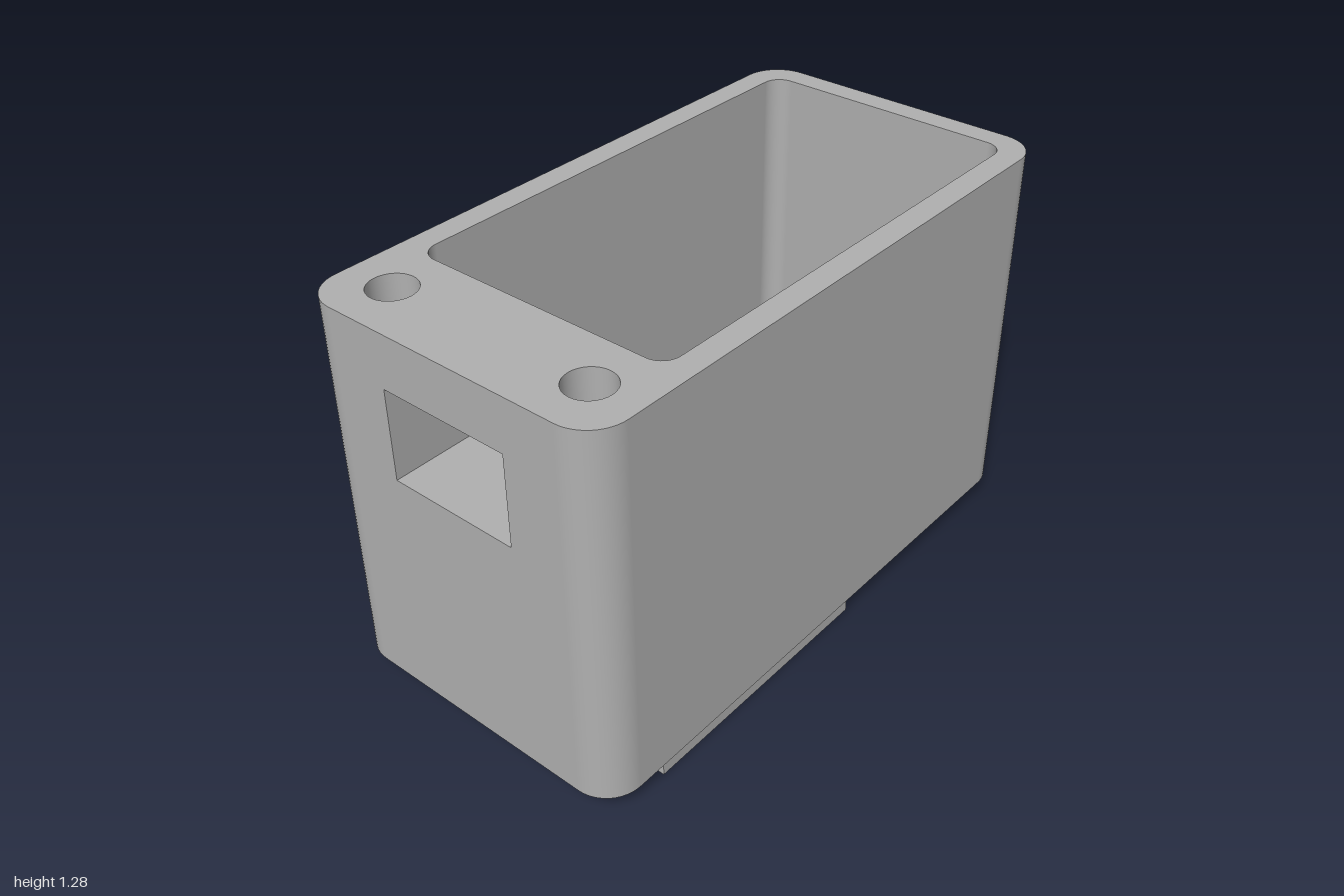
import * as THREE from 'three';

const BOTTOM = 0.06, TOP = 1.283;
const OUTER = { w: 0.517, back: -1, front: 1, r: 0.12 };
const CAVITY = { w: 0.437, back: -0.92, front: 0.663, r: 0.06 };
const WINDOW = { w: 0.215, y0: 0.82, y1: 1.11 };
const SCREW = { x: 0.35, z: 0.83, r: 0.072, depth: 0.3 };

// Rounded rectangle seen from above as [x, z, nx, nz], from the front edge round to it again
function outline({ w, back, front, r }, steps = 12) {
  const corners = [[w - r, front - r], [w - r, back + r], [r - w, back + r], [r - w, front - r]];
  const pts = [];
  corners.forEach(([cx, cz], i) => {
    for (let s = 0; s <= steps; s++) {
      const a = (Math.PI / 2) * (1 - i - s / steps);
      const c = Math.cos(a), n = Math.sin(a);
      pts.push([cx + r * c, cz + r * n, c, n]);
    }
  });
  return pts;
}

// Upright wall along an outline, leaving the flat front open
function sideWall(rect, inward) {
  const pos = [], nor = [], idx = [], k = inward ? -1 : 1;
  const pts = outline(rect);
  pts.forEach(([x, z, nx, nz], i) => {
    pos.push(x, BOTTOM, z, x, TOP, z);
    nor.push(nx * k, 0, nz * k, nx * k, 0, nz * k);
    if (i === pts.length - 1) return;
    const a = 2 * i, b = a + 2;
    if (inward) idx.push(a, b + 1, b, a, a + 1, b + 1);
    else idx.push(a, b, b + 1, a, b + 1, a + 1);
  });
  const g = new THREE.BufferGeometry();
  g.setAttribute('position', new THREE.Float32BufferAttribute(pos, 3));
  g.setAttribute('normal', new THREE.Float32BufferAttribute(nor, 3));
  g.setIndex(idx);
  return g;
}

const toShape = (pts) => new THREE.Shape(pts.map(([x, y]) => new THREE.Vector2(x, y)));
const rectangle = (w, y0, y1) => toShape([[-w, y0], [w, y0], [w, y1], [-w, y1]]);

// Flat front of a wall, with the window cut out
function frontPanel(rect, inward) {
  const shape = rectangle(rect.w - rect.r, BOTTOM, TOP);
  shape.holes.push(rectangle(WINDOW.w, WINDOW.y0, WINDOW.y1));
  const g = new THREE.ShapeGeometry(shape);
  if (inward) g.rotateY(Math.PI);
  return g.translate(0, 0, rect.front);
}

// Rim between the outer wall and the cavity; the upper one has screw holes
function rim(upper) {
  const k = upper ? -1 : 1;
  const flat = (rect) => toShape(outline(rect).map(([x, z]) => [x, z * k]));
  const shape = flat(OUTER);
  shape.holes.push(flat(CAVITY));
  if (upper) {
    for (const s of [-1, 1]) {
      const hole = new THREE.Path();
      hole.absarc(s * SCREW.x, SCREW.z * k, SCREW.r, 0, Math.PI * 2, true);
      shape.holes.push(hole);
    }
  }
  return new THREE.ShapeGeometry(shape, 16)
    .rotateX(k * Math.PI / 2).translate(0, upper ? TOP : BOTTOM, 0);
}

export function createModel() {
  const grey = new THREE.MeshStandardMaterial({ color: 0xb0b0b0, side: THREE.DoubleSide });
  grey.name = 'grey plastic';
  const model = new THREE.Group();
  model.name = 'openBox';
  const add = (name, geometry) => {
    const mesh = new THREE.Mesh(geometry, grey);
    mesh.name = name;
    model.add(mesh);
    return mesh;
  };

  // Shell
  add('outerWall', sideWall(OUTER, false));
  add('outerFront', frontPanel(OUTER, false));
  add('cavityWall', sideWall(CAVITY, true));
  add('cavityFront', frontPanel(CAVITY, true));
  add('topRim', rim(true));
  add('bottomRim', rim(false));

  // Window tunnel through the thick front wall
  const depth = OUTER.front - CAVITY.front, midZ = (OUTER.front + CAVITY.front) / 2;
  const height = WINDOW.y1 - WINDOW.y0, midY = (WINDOW.y0 + WINDOW.y1) / 2;
  for (const s of [-1, 1]) {
    add('windowSide', new THREE.PlaneGeometry(depth, height)
      .rotateY(-s * Math.PI / 2).translate(s * WINDOW.w, midY, midZ));
    add(s > 0 ? 'windowTop' : 'windowSill', new THREE.PlaneGeometry(2 * WINDOW.w, depth)
      .rotateX(s * Math.PI / 2).translate(0, midY + s * height / 2, midZ));
  }

  // Blind screw holes
  for (const s of [-1, 1]) {
    add('screwHole', new THREE.CylinderGeometry(SCREW.r, SCREW.r, SCREW.depth, 32, 1, true)
      .translate(s * SCREW.x, TOP - SCREW.depth / 2, SCREW.z));
    add('screwHoleFloor', new THREE.CircleGeometry(SCREW.r, 32)
      .rotateX(-Math.PI / 2).translate(s * SCREW.x, TOP - SCREW.depth, SCREW.z));
  }

  // Plate under the front half
  add('basePlate', new THREE.BoxGeometry(1.006, BOTTOM, 0.88)).position.set(0, BOTTOM / 2, 0.33);
  return model;
}
